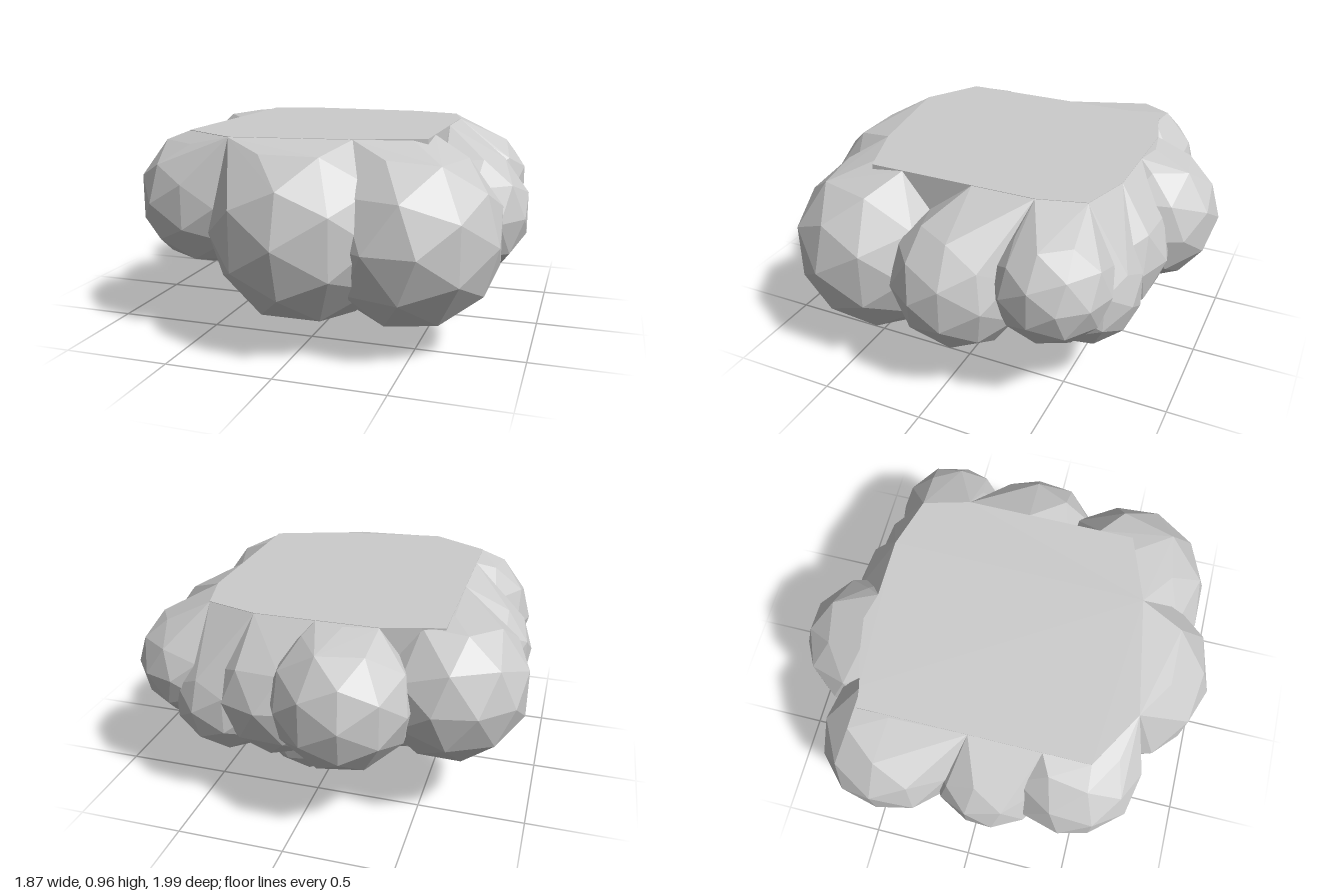
import * as THREE from 'three';
import { ConvexGeometry } from 'three/addons/geometries/ConvexGeometry.js';

const TOP = 0.96;

// Outline of the flat plateau as [x, z]
const RIM = [
  [-0.6, -0.57], [-0.5, -0.59], [-0.33, -0.64], [0.23, -0.64], [0.47, -0.57], [0.53, -0.35],
  [0.53, 0.46], [0.22, 0.57], [-0.33, 0.66], [-0.6, 0.5],
];

// Puffs as [name, x, y, z, radius, rim points [x, z] that the puff slopes up to]
const PUFFS = [
  ['frontPuff', 0.0, 0.55, 0.555, 0.435, [[-0.33, 0.66], [0.22, 0.57]]],
  ['frontLeftPuff', 0.46, 0.53, 0.47, 0.42, [[0.22, 0.57], [0.53, 0.3]]],
  ['frontRightPuff', -0.54, 0.64, 0.42, 0.33, [[-0.33, 0.66], [-0.6, 0.5], [-0.6, 0.28]]],
  ['rightPuff', -0.64, 0.6, 0.06, 0.28, [[-0.6, 0.28], [-0.6, -0.06]]],
  ['backRightPuff', -0.61, 0.64, -0.42, 0.35, [[-0.6, -0.06], [-0.6, -0.35], [-0.5, -0.58]]],
  ['backPuff', -0.18, 0.63, -0.67, 0.325, [[-0.33, -0.64], [-0.05, -0.64]]],
  ['backMiddlePuff', 0.15, 0.58, -0.52, 0.33, [[-0.05, -0.64], [0.23, -0.64]]],
  ['backInnerLeftPuff', 0.4, 0.51, -0.54, 0.27, [[0.23, -0.64], [0.47, -0.57]]],
  ['backLeftPuff', 0.6, 0.62, -0.47, 0.27, [[0.47, -0.57], [0.53, -0.35]]],
  ['leftPuff', 0.61, 0.54, -0.035, 0.325, [[0.53, -0.35], [0.53, -0.05]]],
  ['lowerLeftPuff', 0.34, 0.28, 0.075, 0.275, []],
  ['lowerBackPuff', 0.07, 0.345, -0.345, 0.275, []],
  ['lowerBackRightPuff', -0.18, 0.43, -0.4, 0.26, []],
  ['lowerRightPuff', -0.29, 0.38, -0.14, 0.26, []],
  ['lowerMiddlePuff', -0.19, 0.36, 0.02, 0.26, []],
  ['lowerFrontRightPuff', -0.27, 0.42, 0.25, 0.25, []],
];

// Faceted ball, cut flat at the top and pulled up to the plateau rim
function puffGeometry(x, y, z, r, rim, turn) {
  const ball = new THREE.IcosahedronGeometry(r * 1.02, 1).rotateY(turn).translate(x, y, z);
  const p = ball.attributes.position;
  const points = rim.map(([rx, rz]) => new THREE.Vector3(rx, TOP - 0.002, rz));
  for (let k = 0; k < p.count; k++) {
    const v = new THREE.Vector3().fromBufferAttribute(p, k);
    v.y = THREE.MathUtils.clamp(v.y, 0, TOP - 0.002);
    // Shared corners are added once
    if (!points.some((q) => q.distanceTo(v) < 1e-4)) points.push(v);
  }
  return new ConvexGeometry(points);
}

export function createModel() {
  const group = new THREE.Group();
  group.name = 'floatingIsland';
  const material = new THREE.MeshStandardMaterial({ color: 0xcccccc, flatShading: true });

  // Flat plateau with straight sides that sink into the puffs
  const outline = new THREE.Shape(RIM.map(([x, z]) => new THREE.Vector2(x, -z)));
  const slab = new THREE.ExtrudeGeometry(outline, { depth: 0.46, bevelEnabled: false });
  slab.rotateX(-Math.PI / 2).translate(0, TOP - 0.46, 0);
  const plateau = new THREE.Mesh(slab, material);
  plateau.name = 'plateau';
  group.add(plateau);

  // Ring of puffs around the plateau and a lower cluster beneath it
  PUFFS.forEach(([name, x, y, z, r, rim], i) => {
    const puff = new THREE.Mesh(puffGeometry(x, y, z, r, rim, i * 1.3), material);
    puff.name = name;
    group.add(puff);
  });

  return group;
}
